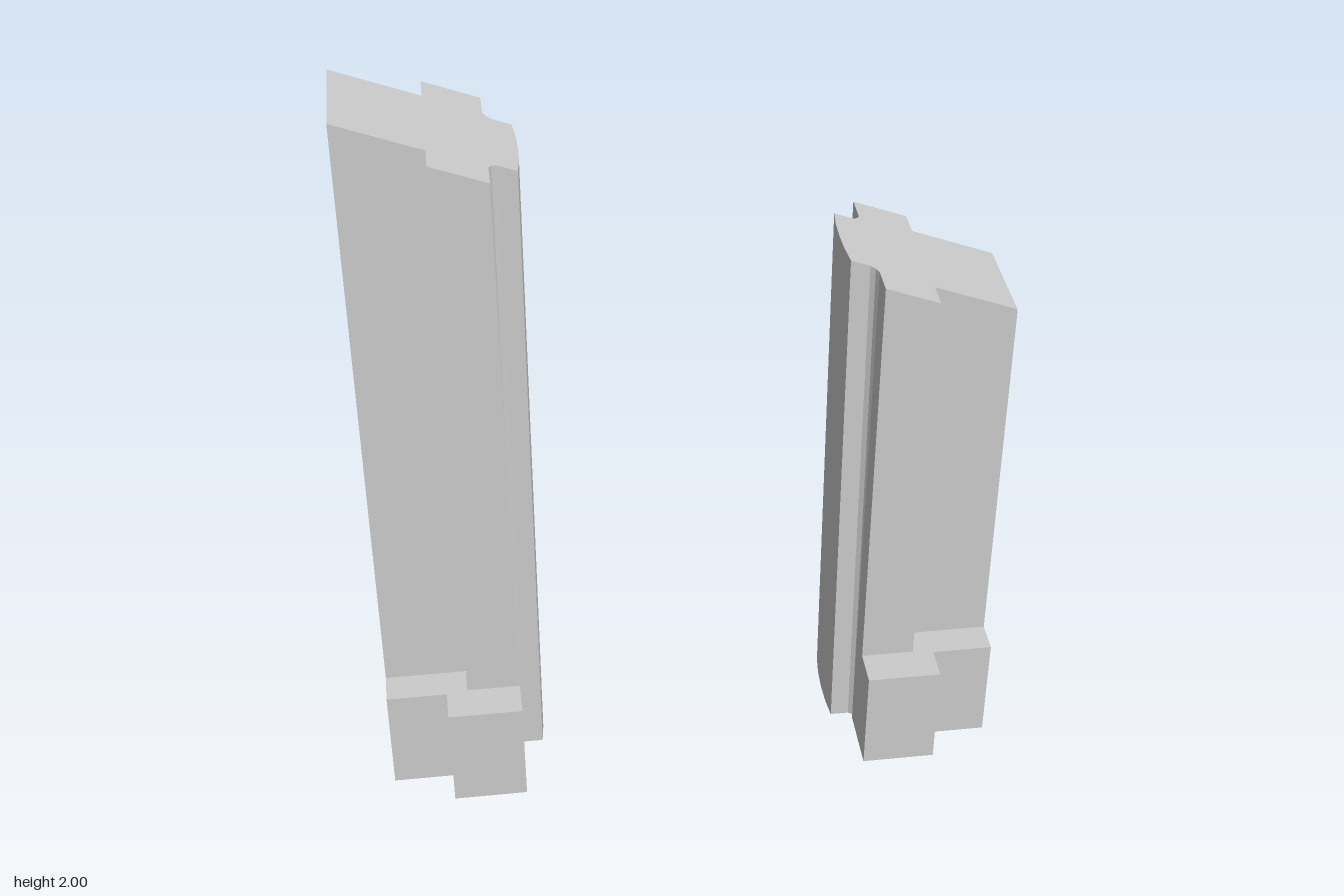
import * as THREE from 'three';

const material = new THREE.MeshStandardMaterial({ color: 0xcccccc, flatShading: true });

// Sloping plane that cuts off both pillars
const cutHeight = (x, z) => 1.677 - 0.39 * x + 0.025 * z;

// Half outline of a pillar, [distance from centre, z], outer face to inner face
const halfPillar = [
  [0.82, 0.135], [0.605, 0.135], [0.605, 0.21], [0.465, 0.21],
  [0.465, 0.135], [0.458, 0.122], [0.446, 0.114], [0.397, 0.114], [0.391, 0.06],
];
const pillarOutline = [
  ...halfPillar, [0.389, 0], ...halfPillar.map(([x, z]) => [x, -z]).reverse(),
];

// Stepped plinth block wrapping one flank of a pillar
const plinthOutline = [
  [0.82, 0.135], [0.82, 0.219], [0.66, 0.219], [0.66, 0.307],
  [0.465, 0.307], [0.465, 0.21], [0.605, 0.21], [0.605, 0.135],
];

// Extrude an x/z outline upwards from the ground
function prism(outline, sx, sz, height) {
  const shape = new THREE.Shape(outline.map(([x, z]) => new THREE.Vector2(x * sx, -z * sz)));
  const geometry = new THREE.ExtrudeGeometry(shape, { depth: height, bevelEnabled: false });
  return geometry.rotateX(-Math.PI / 2);
}

function pillarGeometry(side) {
  const geometry = prism(pillarOutline, side, 1, 1);
  const p = geometry.attributes.position;
  for (let i = 0; i < p.count; i++) {
    let x = p.getX(i);
    const z = p.getZ(i), top = p.getY(i) > 0.5;
    // the inner fluted face leans slightly inwards towards the top
    if (!top && Math.abs(x) < 0.46) x += side * 0.011;
    p.setXYZ(i, x, top ? cutHeight(x, z) : 0, z);
  }
  geometry.computeVertexNormals();
  return geometry;
}

export function createModel() {
  const model = new THREE.Group();
  for (const side of [-1, 1]) {
    const tower = new THREE.Group();
    tower.name = side > 0 ? 'leftTower' : 'rightTower';

    const pillar = new THREE.Mesh(pillarGeometry(side), material);
    pillar.name = 'pillar';
    tower.add(pillar);

    for (const flank of [-1, 1]) {
      const plinth = new THREE.Mesh(prism(plinthOutline, side, flank, 0.305), material);
      plinth.name = flank > 0 ? 'frontPlinth' : 'backPlinth';
      tower.add(plinth);
    }
    model.add(tower);
  }
  return model;
}
